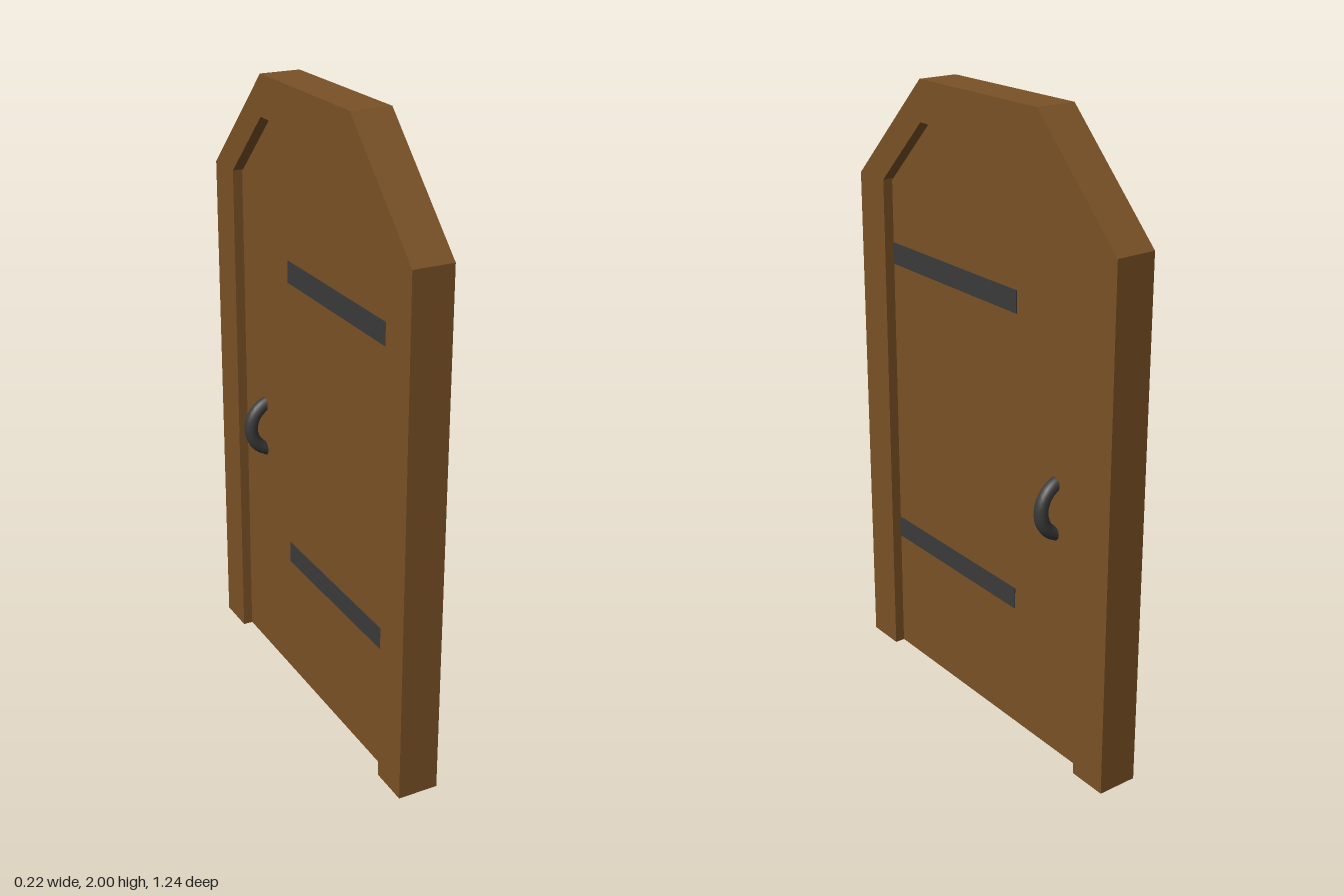
import * as THREE from 'three';

const wood = new THREE.MeshStandardMaterial({ color: 0x7a5126 });
wood.name = 'brown wood';
const iron = new THREE.MeshStandardMaterial({ color: 0x3a3a3b });
iron.name = 'dark iron';

// Points of an arch with sloped shoulders, from bottom left to bottom right
function archPoints(halfWidth, bottom, shoulder, halfTop, top) {
  return [
    [-halfWidth, bottom], [-halfWidth, shoulder], [-halfTop, top],
    [halfTop, top], [halfWidth, shoulder], [halfWidth, bottom],
  ].map(([u, v]) => new THREE.Vector2(u, v));
}

// Extrude a flat outline, centred on x = 0 and spread along z
function slab(points, thickness) {
  const geometry = new THREE.ExtrudeGeometry(new THREE.Shape(points), { depth: thickness, bevelEnabled: false });
  return geometry.translate(0, 0, -thickness / 2).rotateY(Math.PI / 2);
}

export function createModel() {
  const group = new THREE.Group();
  const add = (name, geometry, material, x = 0, y = 0, z = 0) => {
    const mesh = new THREE.Mesh(geometry, material);
    mesh.name = name;
    mesh.position.set(x, y, z);
    group.add(mesh);
  };

  // Frame: the outer arch, then back along the inner opening
  const outer = archPoints(0.618, 0, 1.66, 0.277, 2);
  const inner = archPoints(0.488, 0, 1.66, 0.277, 1.872).reverse();
  add('frame', slab([...outer, ...inner], 0.13), wood);

  // Door leaf, with a narrow gap to the frame
  add('door', slab(archPoints(0.482, 0.005, 1.656, 0.275, 1.864), 0.072), wood);

  // Hinge straps on both faces
  for (const y of [0.452, 1.42]) {
    for (const side of [-1, 1]) {
      add('hingeStrap', new THREE.BoxGeometry(0.006, 0.07, 0.64), iron, side * 0.036, y, 0.162);
    }
  }

  // Ring handle passing through the door
  add('handle', new THREE.TorusGeometry(0.087, 0.022, 12, 32), iron, 0, 0.832, -0.343);

  return group;
}
